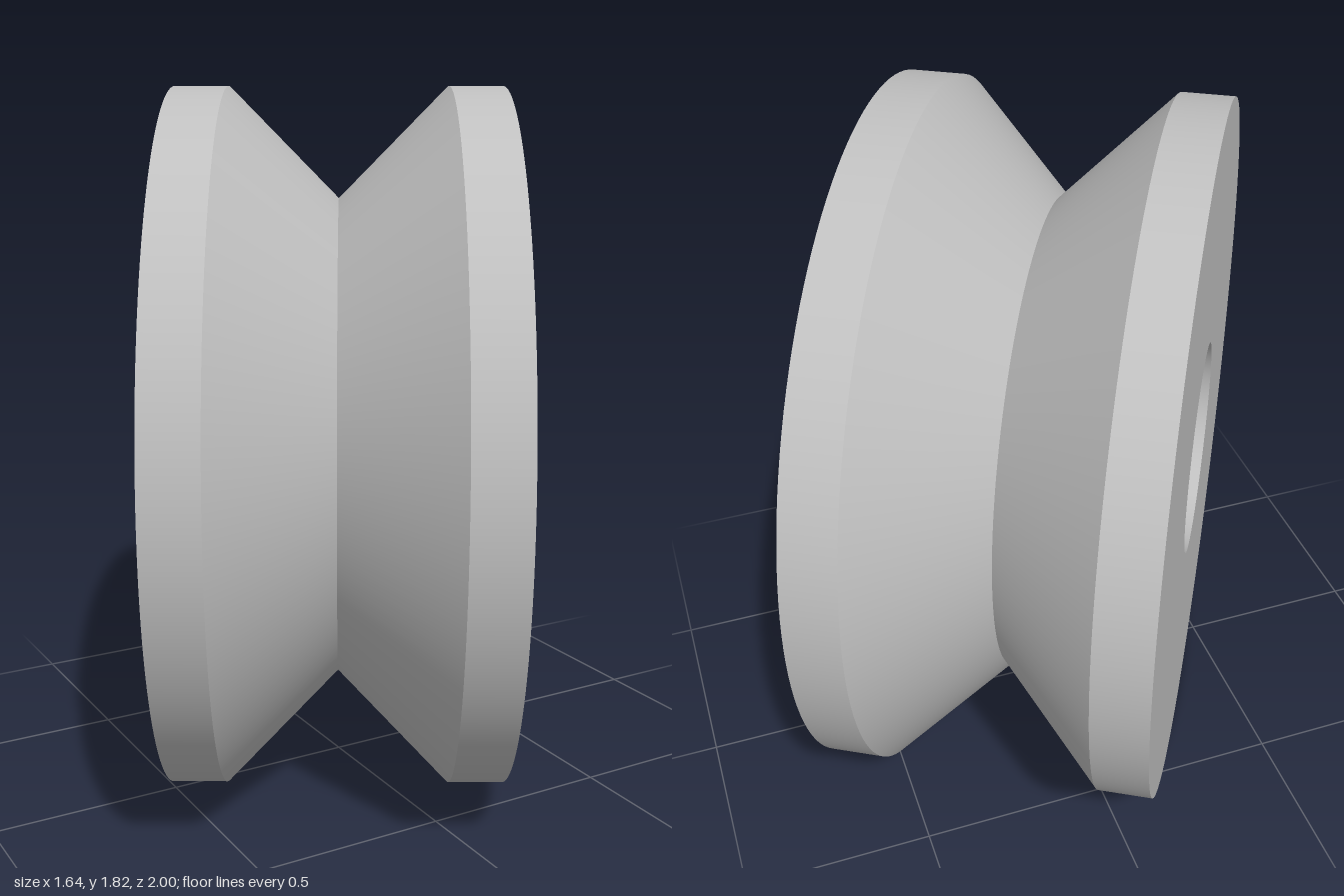
import * as THREE from 'three';

export function createModel() {
  const metal = new THREE.MeshStandardMaterial({ color: 0xc0c0c0 });
  metal.name = 'light grey';

  const R = 0.912;       // rim radius
  const GROOVE = 0.627;  // radius at the bottom of the V groove
  const BORE = 0.281;    // radius of the through hole
  const HALF = 0.419;    // half of the width
  const LIP = 0.281;     // inner edge of each rim

  // Closed profile (radius, position along the axle); each edge is its own
  // band, so curved surfaces stay smooth and the edges between them sharp
  const profile = [
    ['backFace', BORE, -HALF],
    ['backRim', R, -HALF],
    ['backGrooveWall', R, -LIP],
    ['frontGrooveWall', GROOVE, 0],
    ['frontRim', R, LIP],
    ['frontFace', R, HALF],
    ['bore', BORE, HALF],
  ];

  const wheel = new THREE.Group();
  wheel.name = 'grooveWheel';
  profile.forEach(([name, r, y], i) => {
    const [, r2, y2] = profile[(i + 1) % profile.length];
    const points = [new THREE.Vector2(r, y), new THREE.Vector2(r2, y2)];
    const band = new THREE.Mesh(new THREE.LatheGeometry(points, 128), metal);
    band.name = name;
    wheel.add(band);
  });

  // Lay the axle level and turn it 30 degrees from +x towards +z
  wheel.rotation.set(0, -Math.PI / 6, -Math.PI / 2);
  wheel.position.y = R;

  const model = new THREE.Group();
  model.name = 'pulley';
  model.add(wheel);
  return model;
}
